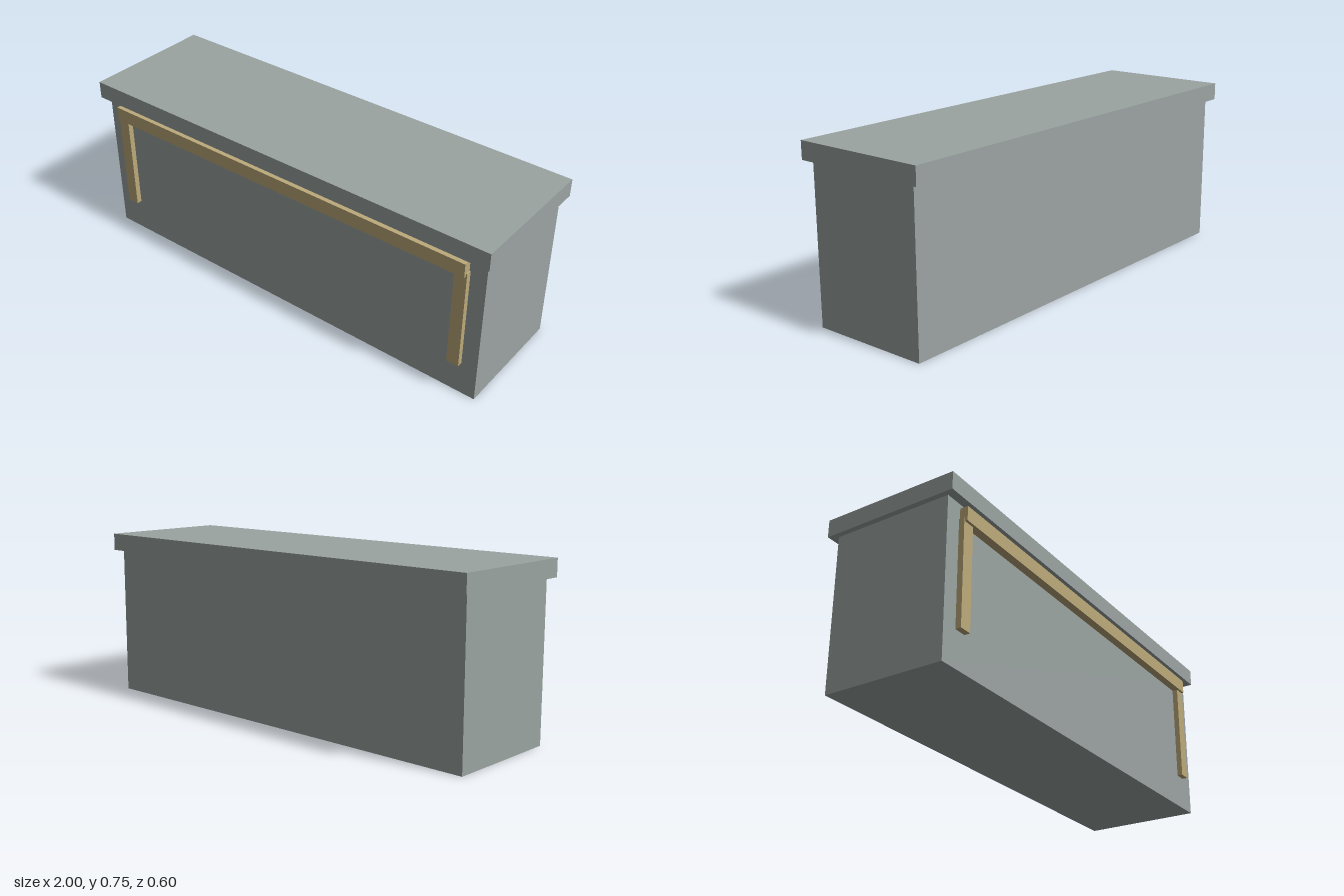
import * as THREE from 'three';

export function createModel() {
  const model = new THREE.Group();
  const stone = new THREE.MeshStandardMaterial({ name: 'grey stone', color: 0x9ba4a2 });
  const trim = new THREE.MeshStandardMaterial({ name: 'tan trim', color: 0xbcaa7a });

  // Box given by its lower and upper corners
  function addBox(name, material, [x0, y0, z0], [x1, y1, z1]) {
    const mesh = new THREE.Mesh(new THREE.BoxGeometry(x1 - x0, y1 - y0, z1 - z0), material);
    mesh.position.set((x0 + x1) / 2, (y0 + y1) / 2, (z0 + z1) / 2);
    mesh.name = name;
    model.add(mesh);
  }

  // Counter body and overhanging top
  addBox('body', stone, [-0.977, 0, -0.263], [0.977, 0.67, 0.263]);
  addBox('countertop', stone, [-1, 0.67, -0.299], [1, 0.746, 0.299]);

  // Front trim: a rail resting over two upright strips
  addBox('frontRail', trim, [-0.902, 0.59, 0.255], [0.902, 0.652, 0.298]);
  for (const [name, x] of [['rightUpright', -0.88], ['leftUpright', 0.88]]) {
    addBox(name, trim, [x - 0.027, 0.151, 0.255], [x + 0.027, 0.604, 0.287]);
  }
  return model;
}
